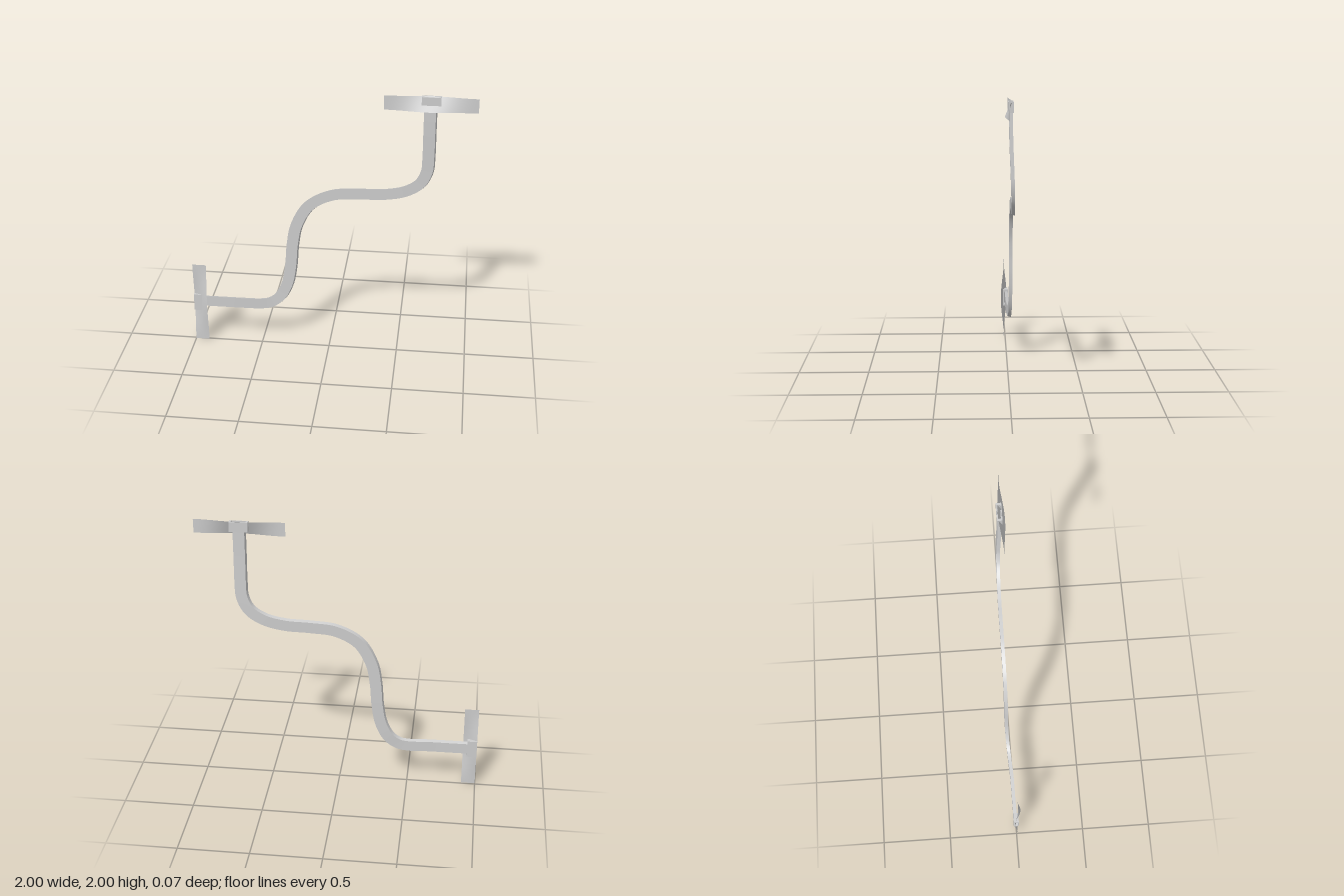
import * as THREE from 'three';
import { toCreasedNormals } from 'three/addons/utils/BufferGeometryUtils.js';

const material = new THREE.MeshStandardMaterial({ color: 0xcccccc, side: THREE.DoubleSide });

// Flat strip swept along the S-shaped centre line
function makeBar() {
  const path = new THREE.CatmullRomCurve3([
    [-0.96, 0.32, -0.009], [-0.8, 0.32, -0.01], [-0.65, 0.32, -0.011], [-0.5, 0.32, -0.018],
    [-0.43, 0.335, -0.021], [-0.36, 0.39, -0.025], [-0.305, 0.5, -0.027], [-0.277, 0.65, -0.028],
    [-0.263, 0.82, -0.028], [-0.232, 0.98, -0.028], [-0.14, 1.14, -0.028], [0.02, 1.228, -0.028],
    [0.2, 1.247, -0.028], [0.38, 1.254, -0.027], [0.53, 1.288, -0.024], [0.63, 1.355, -0.021],
    [0.675, 1.45, -0.018], [0.682, 1.56, -0.014], [0.682, 1.75, -0.007], [0.682, 1.96, -0.003],
  ].map((p) => new THREE.Vector3(...p)), false, 'centripetal');

  // Section corners: sideways offset, depth offset (slightly sheared)
  const section = [[0.036, -0.012], [0.044, 0.012], [-0.036, 0.012], [-0.044, -0.012]];
  const steps = 140;
  const positions = [];
  const index = [];
  for (let i = 0; i <= steps; i++) {
    const p = path.getPointAt(i / steps);
    const t = path.getTangentAt(i / steps);
    const len = Math.hypot(t.x, t.y);
    for (const [s, d] of section) {
      positions.push(p.x - (t.y / len) * s, p.y + (t.x / len) * s, p.z + d);
    }
    if (i === steps) break;
    for (let k = 0; k < 4; k++) {
      const a = i * 4 + k;
      const b = i * 4 + ((k + 1) % 4);
      index.push(a, b, a + 4, b, b + 4, a + 4);
    }
  }
  // End caps
  const e = steps * 4;
  index.push(0, 2, 1, 0, 3, 2, e, e + 1, e + 2, e, e + 2, e + 3);
  const geometry = new THREE.BufferGeometry();
  geometry.setAttribute('position', new THREE.Float32BufferAttribute(positions, 3));
  geometry.setIndex(index);
  const bar = new THREE.Mesh(toCreasedNormals(geometry, 0.6), material);
  bar.name = 'curvedBar';
  return bar;
}

// Thin plate, flat at its tips and tilting toward the middle
function makePlate() {
  const geometry = new THREE.PlaneGeometry(0.63, 0.1, 40, 4);
  const pos = geometry.attributes.position;
  for (let i = 0; i < pos.count; i++) {
    const tilt = 0.5 + 0.5 * Math.cos((Math.PI * pos.getX(i)) / 0.315);
    pos.setZ(i, 0.01 - 0.48 * pos.getY(i) * tilt);
  }
  geometry.computeVertexNormals();
  const plate = new THREE.Mesh(geometry, material);
  plate.name = 'endPlate';
  return plate;
}

// Open rectangular sleeve around the end of the bar
function makeSleeve() {
  const rectangle = (Type, w, h) => new Type([
    new THREE.Vector2(-w, -h), new THREE.Vector2(w, -h),
    new THREE.Vector2(w, h), new THREE.Vector2(-w, h),
  ]);
  const shape = rectangle(THREE.Shape, 0.065, 0.018);
  shape.holes.push(rectangle(THREE.Path, 0.05, 0.0135));
  const geometry = new THREE.ExtrudeGeometry(shape, { depth: 0.07, bevelEnabled: false });
  geometry.rotateX(-Math.PI / 2);
  const sleeve = new THREE.Mesh(geometry, material);
  sleeve.name = 'sleeve';
  sleeve.position.set(0, -0.02, -0.004);
  return sleeve;
}

function makeMount(name, x, y, turn) {
  const mount = new THREE.Group();
  mount.name = name;
  mount.add(makePlate(), makeSleeve());
  mount.position.set(x, y, 0);
  mount.rotation.z = turn;
  return mount;
}

export function createModel() {
  const model = new THREE.Group();
  model.name = 'curvedHandle';
  model.add(
    makeBar(),
    makeMount('upperMount', 0.685, 1.95, 0),
    makeMount('lowerMount', -0.95, 0.315, Math.PI / 2),
  );
  return model;
}
